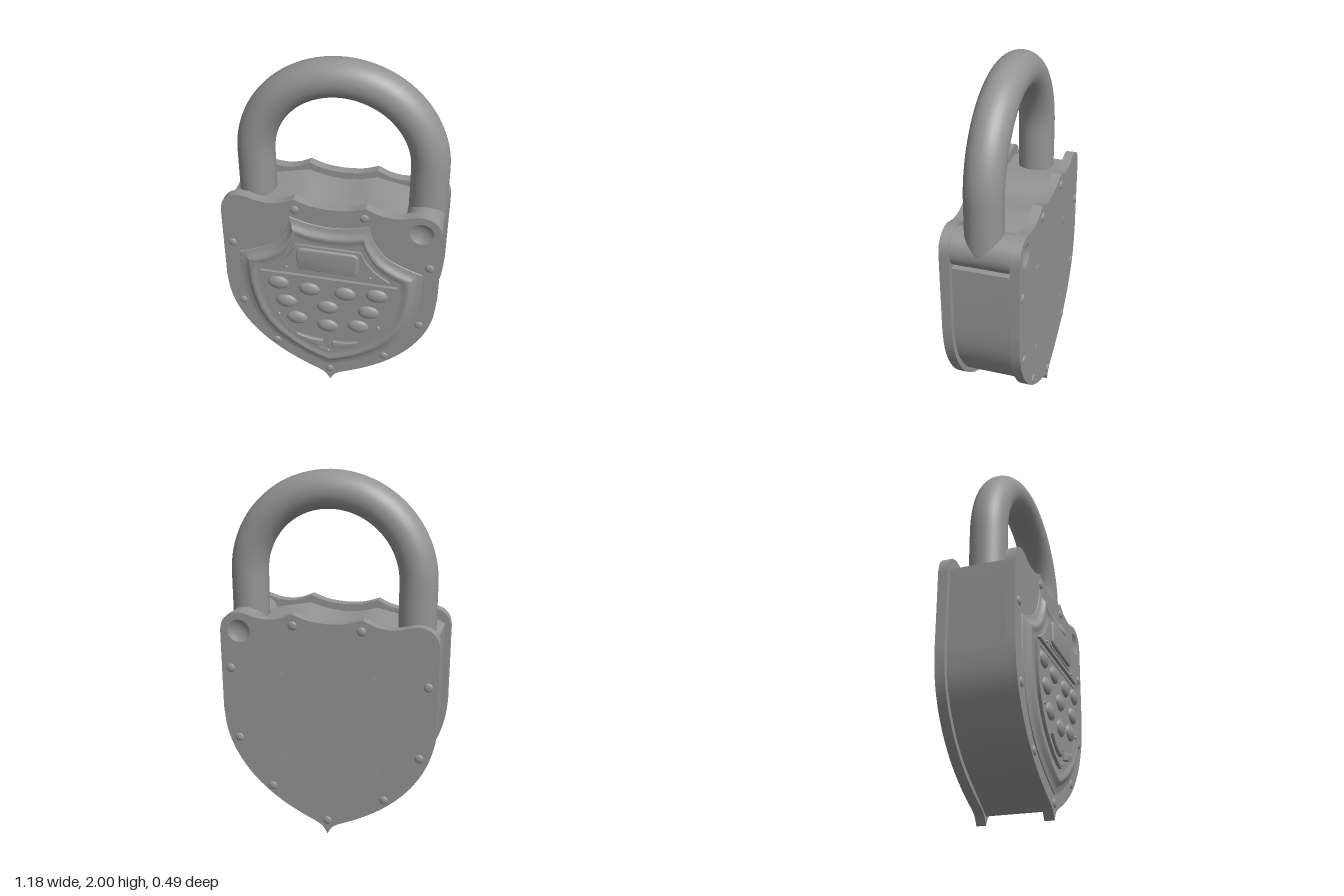
import * as THREE from 'three';
import { toCreasedNormals } from 'three/addons/utils/BufferGeometryUtils.js';
import { ParametricGeometry } from 'three/addons/geometries/ParametricGeometry.js';

const steel = new THREE.MeshStandardMaterial({ color: 0x949494 });
const steelDouble = new THREE.MeshStandardMaterial({ color: 0x949494, side: THREE.DoubleSide });

// Samples curved segments (top centre to bottom centre, +x half) and mirrors them
// into a counter-clockwise loop; straight two-point segments work too.
function outline(segments, steps = 10) {
  const right = [];
  segments.forEach((seg, i) => {
    const pts = new THREE.SplineCurve(seg.map(([x, y]) => new THREE.Vector2(x, y))).getPoints(steps);
    right.push(...(i ? pts.slice(1) : pts));
  });
  const left = right.map((p) => new THREE.Vector2(-p.x, p.y));
  return [...left, ...right.reverse().slice(1, -1)];
}

const polygon = (pts) => new THREE.Shape(pts.map(([x, y]) => new THREE.Vector2(x, y)));

// Extrudes a shape from z0 to z1, with an optional rounded rim kept inside the outline
function slab(shape, z0, z1, bevel = 0) {
  const geo = new THREE.ExtrudeGeometry(shape, {
    depth: z1 - z0 - 2 * bevel, bevelEnabled: bevel > 0, bevelSize: bevel,
    bevelThickness: bevel, bevelOffset: -bevel, bevelSegments: 3, curveSegments: 20,
  });
  geo.translate(0, 0, z0 + bevel);
  return toCreasedNormals(geo, 0.5);
}

function circlePath(x, y, r) {
  const path = new THREE.Path();
  path.absarc(x, y, r, 0, Math.PI * 2, true);
  return path;
}

function roundedRect(x, y, w, h, r) {
  const s = new THREE.Shape();
  s.absarc(x + w / 2 - r, y + h / 2 - r, r, 0, Math.PI / 2);
  s.absarc(x - w / 2 + r, y + h / 2 - r, r, Math.PI / 2, Math.PI);
  s.absarc(x - w / 2 + r, y - h / 2 + r, r, Math.PI, Math.PI * 1.5);
  s.absarc(x + w / 2 - r, y - h / 2 + r, r, Math.PI * 1.5, Math.PI * 2);
  return s;
}

export function createModel() {
  const model = new THREE.Group();
  const add = (name, geo, material = steel) => {
    const mesh = new THREE.Mesh(geo, material);
    mesh.name = name;
    model.add(mesh);
  };
  // Low dome standing on the plane z, facing front (1) or back (-1)
  const dome = (name, x, y, z, rx, ry, h, facing = 1) => {
    const geo = new THREE.SphereGeometry(1, 20, 6, 0, Math.PI * 2, 0, Math.PI / 2);
    geo.rotateX(facing * Math.PI / 2).scale(rx, ry, h).translate(x, y, z);
    add(name, geo);
  };

  const hinge = { x: 0.485, y: 1.165 };
  const shackleZ = -0.025;

  // Front and back plates, with a round hole at the hinge
  const plate = new THREE.Shape(outline([
    [[0, 1.245], [0.1, 1.254], [0.19, 1.283]],
    [[0.19, 1.283], [0.25, 1.255], [0.32, 1.242], [0.39, 1.247], [0.44, 1.262], [0.49, 1.268],
      [0.545, 1.25], [0.58, 1.21], [0.59, 1.16]],
    [[0.59, 1.16], [0.59, 0.72]],
    [[0.59, 0.72], [0.577, 0.6], [0.54, 0.485], [0.47, 0.365], [0.38, 0.265], [0.28, 0.185], [0.17, 0.12], [0.065, 0.07]],
    [[0.065, 0.07], [0.028, 0.045], [0, 0]],
  ], 16));
  plate.holes.push(circlePath(hinge.x, hinge.y, 0.063));
  add('frontPlate', slab(plate, 0.125, 0.178));
  add('backPlate', slab(plate, -0.235, -0.183));

  // Body between the plates, cut away under the hinge barrel
  const sideCurve = new THREE.SplineCurve([
    [0.56, 0.72], [0.547, 0.6], [0.51, 0.49], [0.44, 0.375], [0.355, 0.28], [0.26, 0.205], [0.155, 0.14], [0, 0.047],
  ].map(([x, y]) => new THREE.Vector2(x, y))).getPoints(28).map((p) => [p.x, p.y]);
  add('body', slab(polygon([
    [0.385, 1.2], [0.385, 1.08], [0.56, 1.07], ...sideCurve,
    ...sideCurve.slice(0, -1).reverse().map(([x, y]) => [-x, y]),
    [-0.56, 1.18], [-0.525, 1.2], [-0.37, 1.2], [-0.19, 1.24], [-0.1, 1.215], [0, 1.205], [0.1, 1.215], [0.19, 1.24],
  ]), -0.184, 0.126));

  // Hinge barrel and the dished pin ends in the plate holes
  const barrel = new THREE.CylinderGeometry(0.1, 0.1, 0.308, 40);
  add('hingeBarrel', barrel.rotateX(Math.PI / 2).translate(hinge.x, hinge.y, -0.029));
  const dish = [[0, -0.02], [0.025, -0.018], [0.045, -0.011], [0.063, 0]].map(([r, h]) => new THREE.Vector2(r, h));
  for (const [z, facing] of [[0.178, 1], [-0.235, -1]]) {
    const geo = new THREE.LatheGeometry(dish, 28).rotateX(facing * Math.PI / 2);
    add('hingePinEnd', geo.translate(hinge.x, hinge.y, z), steelDouble);
  }

  // Shackle: two straight legs joined by a half circle
  const R = 0.461, cx = 0.025, archY = 1.439;
  const v = (x, y) => new THREE.Vector3(x, y, shackleZ);
  const shacklePath = new THREE.CurvePath();
  const archPoints = Array.from({ length: 33 }, (_, i) => {
    const a = Math.PI * (1 - i / 32);
    return v(cx + R * Math.cos(a), archY + R * Math.sin(a));
  });
  shacklePath.add(new THREE.LineCurve3(v(cx - R, 1.13), v(cx - R, archY)));
  shacklePath.add(new THREE.CatmullRomCurve3(archPoints));
  shacklePath.add(new THREE.LineCurve3(v(cx + R, archY), v(cx + R, 1.17)));
  add('shackle', new THREE.TubeGeometry(shacklePath, 64, 0.1, 32));

  // Rivets around both plates
  for (const [x, y] of [[0.185, 1.22], [0.539, 0.95], [0.505, 0.54], [0.318, 0.262], [0, 0.087]]) {
    for (const side of x ? [-1, 1] : [1]) {
      dome('frontRivet', side * x, y, 0.177, 0.025, 0.025, 0.011);
      dome('backRivet', side * x, y, -0.234, 0.025, 0.025, 0.011, -1);
    }
  }

  // Small cross-head screws, nearly flush with the back
  for (const x of [-0.268, 0.268]) for (const y of [0.43, 0.955]) {
    const head = new THREE.CylinderGeometry(0.022, 0.022, 0.004, 16).rotateX(Math.PI / 2);
    add('backScrew', head.translate(x, y, -0.2345));
    for (const turn of [Math.PI / 4, -Math.PI / 4]) {
      const bar = new THREE.BoxGeometry(0.05, 0.011, 0.006).rotateZ(turn);
      add('backScrewCross', bar.translate(x, y, -0.235));
    }
  }

  // Shield with a sloping border: the outline blends from the outer loop to the inner loop
  const outer = [
    [[0, 1.135], [0.11, 1.147], [0.215, 1.175]],
    [[0.215, 1.175], [0.235, 1.09], [0.305, 0.99], [0.405, 0.935], [0.505, 0.9]],
    [[0.505, 0.9], [0.5, 0.72], [0.45, 0.49], [0.33, 0.31], [0.15, 0.19], [0, 0.125]],
  ];
  const inner = [
    [[0, 1.03], [0.09, 1.035], [0.175, 1.055]],
    [[0.175, 1.055], [0.19, 1.02], [0.24, 0.93], [0.31, 0.87], [0.39, 0.83]],
    [[0.39, 0.83], [0.387, 0.7], [0.345, 0.53], [0.26, 0.4], [0.12, 0.29], [0, 0.245]],
  ];
  const steps = [[0, 0.175], [0.04, 0.183], [0.25, 0.187], [0.4, 0.194], [0.5, 0.205], [0.58, 0.209], [0.72, 0.209], [0.82, 0.203], [1, 0.203]];
  const loops = steps.map(([t]) => outline(outer.map((seg, s) => seg.map(([x, y], i) => [
    THREE.MathUtils.lerp(x, inner[s][i][0], t), THREE.MathUtils.lerp(y, inner[s][i][1], t)]))));
  const count = loops[0].length;
  const last = steps.length - 1;
  const shield = new ParametricGeometry((u, w, target) => {
    const row = Math.round(w * last);
    const p = loops[row][Math.round(u * count) % count];
    target.set(p.x, p.y, steps[row][1]);
  }, count, last);
  add('shieldFrame', toCreasedNormals(shield, 0.6));
  add('shieldFace', new THREE.ShapeGeometry(new THREE.Shape(loops[last])).translate(0, 0, 0.203));

  // Keypad panel with a thin raised rim
  const padPoints = outline([
    [[0, 0.812], [0.38, 0.812]],
    [[0.38, 0.812], [0.372, 0.68], [0.333, 0.525], [0.25, 0.4], [0.12, 0.3], [0, 0.257]],
  ]);
  add('keypadPanel', slab(new THREE.Shape(padPoints), 0.19, 0.216));
  const rim = new THREE.Shape(padPoints);
  rim.holes.push(new THREE.Path(padPoints.map((p) => new THREE.Vector2(p.x * 0.9, 0.58 + (p.y - 0.58) * 0.92))));
  add('keypadRim', slab(rim, 0.2, 0.22));

  // Display panel and its raised window
  add('displayPanel', slab(new THREE.Shape(outline([
    [[0, 1.02], [0.178, 1.02]],
    [[0.178, 1.02], [0.2, 0.97], [0.255, 0.9], [0.335, 0.842]],
    [[0.335, 0.842], [0, 0.842]],
  ])), 0.19, 0.22));
  add('displayBezel', slab(roundedRect(0, 0.943, 0.35, 0.165, 0.012), 0.21, 0.225));
  add('displayWindow', slab(roundedRect(0, 0.943, 0.335, 0.145, 0.03), 0.205, 0.24, 0.012));

  // Oval keys
  for (const [x, y] of [[-0.28, 0.742], [-0.105, 0.725], [0.095, 0.725], [0.27, 0.742],
    [-0.237, 0.615], [-0.003, 0.61], [0.227, 0.615], [-0.18, 0.5], [-0.003, 0.472], [0.17, 0.5]]) {
    dome('key', x, y, 0.215, 0.061, 0.044, 0.023);
  }

  // Two wedge-shaped keys at the bottom
  for (const s of [-1, 1]) {
    const wedge = [[0.18, 0.385], [0.1, 0.365], [0.028, 0.36], [0.028, 0.31], [0.09, 0.318], [0.14, 0.34]];
    add('wedgeKey', slab(polygon(wedge.map(([x, y]) => [s * x, y])), 0.21, 0.234, 0.006));
  }

  // Tiny panel screws
  for (const [x, y] of [[0.162, 1.008], [0.23, 0.862], [0.285, 0.51], [0, 0.277]]) {
    for (const s of x ? [-1, 1] : [1]) dome('panelScrew', s * x, y, 0.215, 0.01, 0.01, 0.012);
  }
  return model;
}
